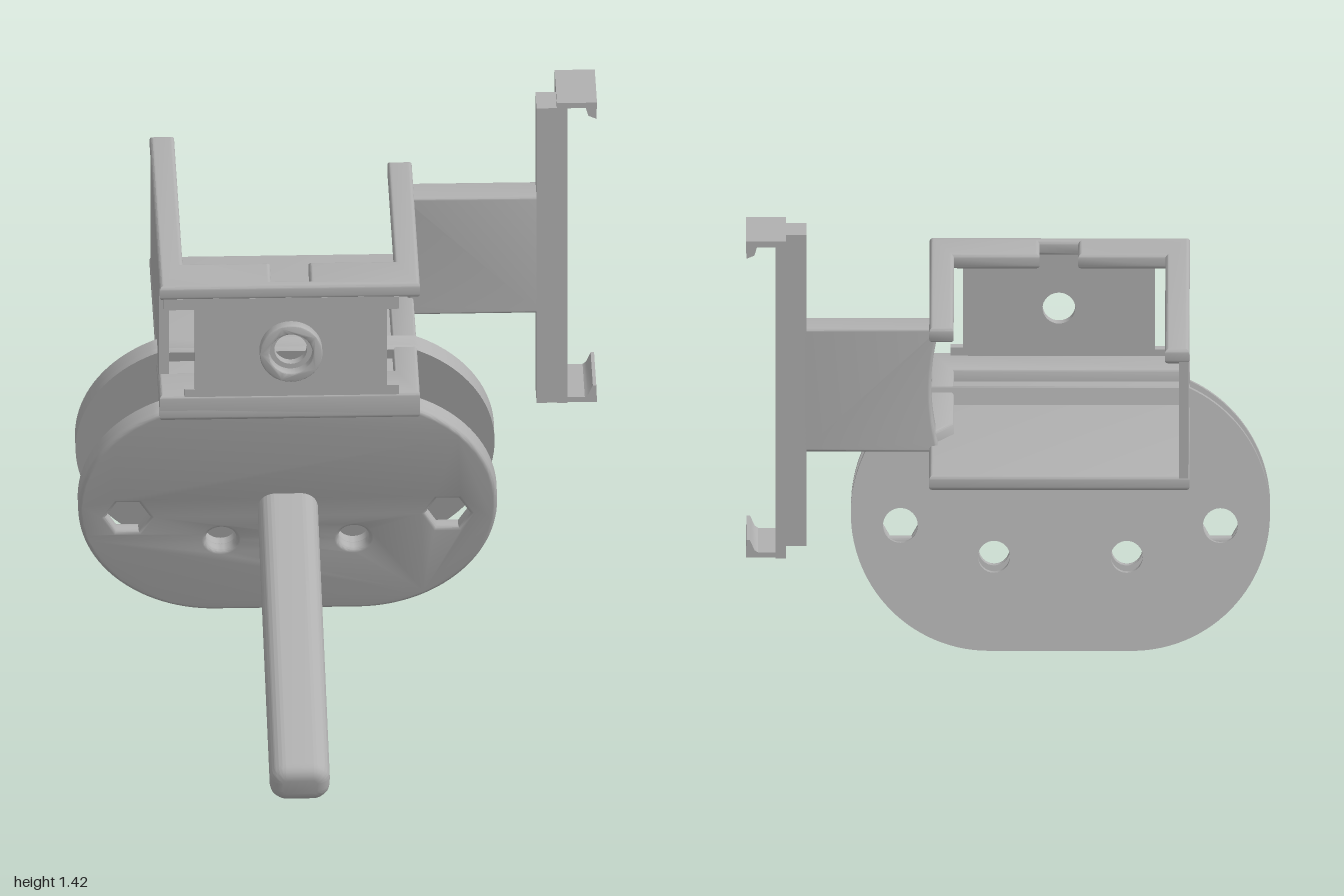
import * as THREE from 'three';
import { toCreasedNormals } from 'three/addons/utils/BufferGeometryUtils.js';

const grey = new THREE.MeshStandardMaterial({ color: 0xb0b0b0 });
grey.name = 'plain grey';

function add(parent, name, geometry) {
  const mesh = new THREE.Mesh(geometry, grey);
  mesh.name = name;
  parent.add(mesh);
  return mesh;
}

// Box given by its limits on each axis
function block(parent, name, [x0, x1], [y0, y1], [z0, z1]) {
  const g = new THREE.BoxGeometry(x1 - x0, y1 - y0, z1 - z0);
  g.translate((x0 + x1) / 2, (y0 + y1) / 2, (z0 + z1) / 2);
  return add(parent, name, g);
}

const polygon = (pts) => new THREE.Shape(pts.map(([x, y]) => new THREE.Vector2(x, y)));

// Regular hole: many sides for round, six for hexagonal
function hole(x, y, r, sides = 32) {
  const pts = [];
  for (let i = 0; i < sides; i++) {
    const a = (i / sides) * Math.PI * 2;
    pts.push(new THREE.Vector2(x + r * Math.cos(a), y + r * Math.sin(a)));
  }
  return new THREE.Path(pts);
}

// Extrusion filling z0..z1, with edges rounded inside the outline
function slab(shape, z0, z1, bevel = 0) {
  const g = new THREE.ExtrudeGeometry(shape, {
    depth: z1 - z0 - 2 * bevel, curveSegments: 24,
    bevelEnabled: bevel > 0, bevelThickness: bevel, bevelSize: bevel,
    bevelOffset: -bevel, bevelSegments: 4,
  });
  g.translate(0, 0, z0 + bevel);
  return toCreasedNormals(g, 0.6);
}

// Outline drawn in x and z, filled between heights y0 and y1
function layer(pts, y0, y1, bevel) {
  const g = slab(polygon(pts), 0, y1 - y0, bevel);
  g.rotateX(Math.PI / 2);
  g.translate(0, y1, 0);
  return g;
}

// Long rounded plate with its top trimmed flat
function plateShape(holes) {
  const R = 0.395, w = 0.6, top = 0.755;
  const a = Math.asin((top - R) / R), s = new THREE.Shape();
  s.moveTo(-(w - R), 0);
  s.lineTo(w - R, 0);
  s.absarc(w - R, R, R, -Math.PI / 2, a, false);
  s.lineTo(-(w - R) - R * Math.cos(a), top);
  s.absarc(-(w - R), R, R, Math.PI - a, Math.PI * 1.5, false);
  s.holes.push(...holes);
  return s;
}

function roundedRect(cx, cy, w, h, r) {
  const s = new THREE.Shape(), x = w / 2 - r, y = h / 2 - r;
  s.absarc(cx + x, cy + y, r, 0, Math.PI / 2, false);
  s.absarc(cx - x, cy + y, r, Math.PI / 2, Math.PI, false);
  s.absarc(cx - x, cy - y, r, Math.PI, Math.PI * 1.5, false);
  s.absarc(cx + x, cy - y, r, Math.PI * 1.5, Math.PI * 2, false);
  return s;
}

// Tilted pair of clamp plates with the handle
function clamp() {
  const group = new THREE.Group();
  group.name = 'clampPlates';
  const holes = (outerR, outerSides, innerR) => [-1, 1].flatMap((s) => [
    hole(s * 0.458, 0.36, outerR, outerSides), hole(s * 0.19, 0.27, innerR)]);

  add(group, 'frontPlateFace', slab(plateShape(holes(0.062, 6, 0.044)), 0.02, 0.06, 0.012));
  add(group, 'frontPlateRecessedBack', slab(plateShape(holes(0.1, 32, 0.046)), 0, 0.036));
  add(group, 'backPlateFace', slab(plateShape(holes(0.05, 32, 0.046)), -0.264, -0.224));
  add(group, 'backPlateRecessedFront', slab(plateShape(holes(0.1, 32, 0.046)), -0.224, -0.204));
  add(group, 'handle', slab(roundedRect(0, 0.385, 0.172, 0.122, 0.05), 0.03, 1.255, 0.035));

  group.rotation.x = THREE.MathUtils.degToRad(15);
  group.position.set(-0.15, 0.015, -0.32);
  return group;
}

// Open tray above the plates
function tray() {
  const group = new THREE.Group();
  group.name = 'tray';
  const L = -0.52, R = 0.225, F = -0.04;

  add(group, 'trayFloor', layer([[L, -1], [R, -1], [R, F], [L, F]], 0.72, 0.765, 0.012));
  add(group, 'lowerFrame', layer([
    [L, F], [L, -0.19], [0.155, -0.19], [0.155, -0.64], [R, -0.74], [R, F],
  ], 0.722, 0.8, 0.01));
  add(group, 'upperRim', layer([
    [L, F], [L, -1], [-0.45, -1], [-0.45, -0.19], [-0.2, -0.19], [-0.2, -0.075],
    [-0.09, -0.075], [-0.09, -0.19], [0.155, -0.19], [0.155, -0.82], [R, -0.82], [R, F],
  ], 1.105, 1.15, 0.012));
  block(group, 'sideWall', [L + 0.002, -0.49], [0.735, 1.135], [-0.999, -0.19]);

  // Front wall with stepped corners and a screw hole
  const wall = polygon([
    [-0.42, 0.73], [0.13, 0.73], [0.165, 0.79], [0.165, 0.825], [0.13, 0.825],
    [0.13, 1.07], [0.165, 1.07], [0.165, 1.11], [-0.51, 1.11], [-0.51, 1.075],
    [-0.42, 1.075], [-0.42, 0.82], [-0.45, 0.82], [-0.45, 0.79],
  ]);
  wall.holes.push(hole(-0.145, 0.945, 0.047));
  add(group, 'frontWall', slab(wall, -0.07, -0.042));

  // Raised collar round the hole
  const collar = new THREE.Shape(hole(-0.145, 0.945, 0.09, 40).getPoints());
  collar.holes.push(hole(-0.145, 0.945, 0.062));
  add(group, 'screwCollar', slab(collar, -0.05, -0.01, 0.004));
  return group;
}

// Side arm carrying the upright holder
function holder() {
  const group = new THREE.Group();
  group.name = 'sideHolder';

  const arm = new THREE.Shape();
  arm.moveTo(0.195, 0.745);
  arm.lineTo(0.59, 0.745);
  arm.lineTo(0.59, 1.12);
  arm.lineTo(0.195, 1.12);
  arm.quadraticCurveTo(0.245, 0.9325, 0.195, 0.745);
  add(group, 'arm', slab(arm, -0.74, -0.64, 0.01));

  block(group, 'post', [0.577, 0.64], [0.46, 1.405], [-0.74, -0.637]);
  block(group, 'holderPlate', [0.635, 0.665], [0.46, 1.405], [-0.845, -0.635]);

  // Hooked clips at both ends
  const clips = [
    ['upperClip', [[0.635, 1.405], [0.718, 1.405], [0.725, 1.38], [0.748, 1.37],
      [0.75, 1.422], [0.635, 1.422]]],
    ['lowerClip', [[0.635, 0.462], [0.75, 0.462], [0.748, 0.515], [0.738, 0.515],
      [0.725, 0.485], [0.715, 0.478], [0.635, 0.478]]],
  ];
  for (const [name, pts] of clips) add(group, name, slab(polygon(pts), -0.845, -0.635));
  return group;
}

export function createModel() {
  const model = new THREE.Group();
  model.name = 'clampMount';
  model.add(clamp(), tray(), holder());
  return model;
}
